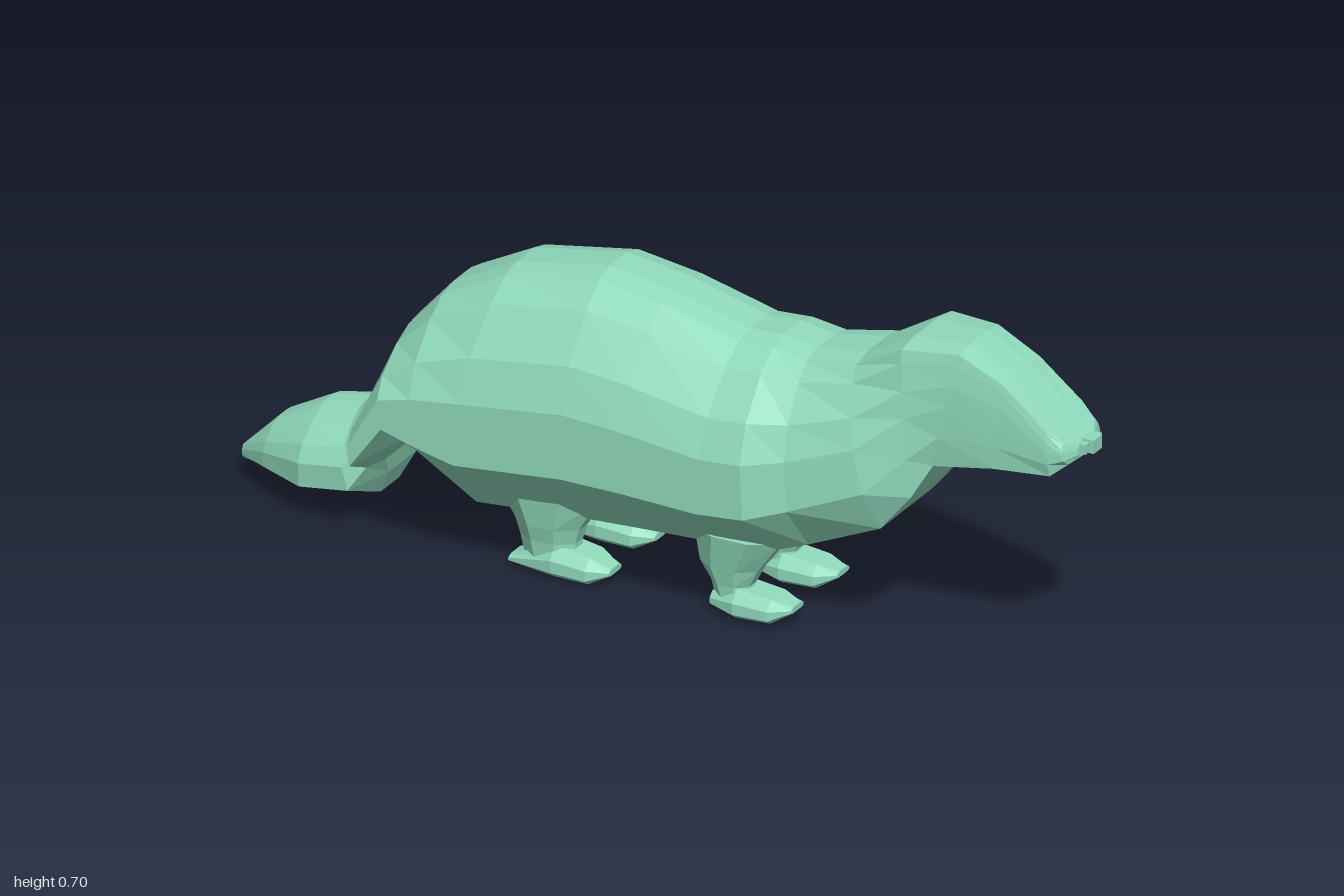
import * as THREE from 'three';

const material = new THREE.MeshStandardMaterial({ color: 0x90dabc, flatShading: true });

// Skin a list of closed rings (counterclockwise seen from the sweep's end) and cap both ends
function loft(name, rings) {
  const pos = [];
  const tri = (a, b, c) => pos.push(...a, ...b, ...c);
  const n = rings[0].length;
  for (let i = 0; i < rings.length - 1; i++) {
    for (let j = 0; j < n; j++) {
      const k = (j + 1) % n;
      tri(rings[i][j], rings[i][k], rings[i + 1][k]);
      tri(rings[i][j], rings[i + 1][k], rings[i + 1][j]);
    }
  }
  const cap = (ring, flip) => {
    const c = [0, 1, 2].map(a => ring.reduce((s, p) => s + p[a], 0) / n);
    ring.forEach((p, j) => {
      const q = ring[(j + 1) % n];
      flip ? tri(c, q, p) : tri(c, p, q);
    });
  };
  cap(rings[0], true);
  cap(rings[rings.length - 1], false);
  const geo = new THREE.BufferGeometry();
  geo.setAttribute('position', new THREE.Float32BufferAttribute(pos, 3));
  geo.computeVertexNormals();
  const mesh = new THREE.Mesh(geo, material);
  mesh.name = name;
  return mesh;
}

// Cross-section of the trunk: tilted line from top (xt, yt) to bottom (xb, yb),
// with half-widths at the side (w), top edge (wt) and belly (wb)
function section([xt, yt, xb, yb, w, wt, wb]) {
  const half = [
    [wt * 0.45, 1], [wt, 0.975],
    [wt + (w - wt) * 0.35, 0.89], [wt + (w - wt) * 0.8, 0.71],
    [w, 0.53], [w, 0.26], [wb, 0],
  ].map(([z, f]) => [xb + (xt - xb) * f, yb + (yt - yb) * f, z]);
  return [...half, ...half.map(([x, y, z]) => [x, y, -z]).reverse()];
}

// Chamfered rectangle across x, for the feet
function footSection([x, y0, y1, w], cz) {
  const h = y1 - y0;
  const half = [[w * 0.6, y1], [w, y1 - h * 0.4], [w, y0 + h * 0.2], [w * 0.7, y0]];
  return [
    ...half.map(([z, y]) => [x, y, cz + z]),
    ...half.map(([z, y]) => [x, y, cz - z]).reverse(),
  ];
}

// Horizontal octagon, for the legs
function legSection([x0, x1, y, w], cz) {
  return Array.from({ length: 8 }, (_, i) => {
    const t = (i + 0.5) * Math.PI / 4;
    return [(x0 + x1) / 2 + (x1 - x0) / 2 * Math.cos(t) * 1.08, y, cz - w * Math.sin(t) * 1.08];
  });
}

export function createModel() {
  const group = new THREE.Group();
  group.name = 'animal';

  // Flat tail, widening from the tip and narrowing at the root
  const tail = [
    [-1.0, 0.08, -1.0, 0.05, 0.035, 0.03, 0.03],
    [-0.92, 0.16, -0.92, 0.04, 0.09, 0.035, 0.035],
    [-0.81, 0.22, -0.8, 0.027, 0.15, 0.04, 0.035],
    [-0.72, 0.237, -0.67, 0.05, 0.16, 0.045, 0.04],
    [-0.675, 0.27, -0.64, 0.11, 0.14, 0.05, 0.06],
  ];

  // Arched trunk from rump to shoulders
  const trunk = [
    [-0.65, 0.32, -0.625, 0.16, 0.245, 0.085, 0.1],
    [-0.58, 0.48, -0.55, 0.24, 0.245, 0.085, 0.11],
    [-0.5, 0.57, -0.48, 0.18, 0.245, 0.085, 0.11],
    [-0.35, 0.65, -0.4, 0.122, 0.245, 0.085, 0.12],
    [-0.13, 0.69, -0.13, 0.143, 0.245, 0.085, 0.12],
    [0.02, 0.668, 0.0, 0.15, 0.245, 0.085, 0.12],
    [0.2, 0.622, 0.18, 0.158, 0.245, 0.085, 0.12],
    [0.28, 0.627, 0.3, 0.17, 0.245, 0.085, 0.12],
  ];

  // Neck, chest and tapering head
  const head = [
    [0.36, 0.615, 0.38, 0.2, 0.2, 0.085, 0.115],
    [0.48, 0.635, 0.55, 0.275, 0.165, 0.095, 0.115],
    [0.595, 0.7, 0.62, 0.36, 0.122, 0.108, 0.112],
    [0.72, 0.705, 0.66, 0.433, 0.098, 0.085, 0.09],
    [0.82, 0.655, 0.8, 0.458, 0.09, 0.08, 0.088],
    [0.92, 0.575, 0.93, 0.467, 0.087, 0.078, 0.08],
    [0.955, 0.545, 0.965, 0.495, 0.08, 0.068, 0.065],
    [0.975, 0.535, 0.978, 0.503, 0.04, 0.03, 0.03],
  ];
  group.add(loft('body', [...tail, ...trunk, ...head].map(section)));

  // Nose pad with a nostril nub on each side
  const pad = new THREE.Mesh(new THREE.BoxGeometry(0.04, 0.03, 0.036), material);
  pad.name = 'nose';
  pad.position.set(0.98, 0.523, 0);
  group.add(pad);
  for (const s of [1, -1]) {
    const nub = new THREE.Mesh(new THREE.BoxGeometry(0.03, 0.022, 0.018), material);
    nub.name = 'nostril';
    nub.position.set(0.975, 0.522, s * 0.026);
    group.add(nub);
  }

  // Short legs: [x0, x1, y, halfWidth]; feet: [x, y0, y1, halfWidth]
  const limbs = {
    front: {
      leg: [[0.16, 0.25, 0.03, 0.035], [0.15, 0.24, 0.07, 0.038],
        [0.125, 0.26, 0.11, 0.046], [0.115, 0.32, 0.19, 0.062]],
      foot: [[0.155, 0.015, 0.045, 0.032], [0.22, 0.005, 0.068, 0.054],
        [0.3, 0.008, 0.06, 0.05], [0.345, 0.035, 0.048, 0.027]],
    },
    hind: {
      leg: [[-0.29, -0.17, 0.03, 0.038], [-0.3, -0.17, 0.075, 0.042],
        [-0.31, -0.16, 0.11, 0.05], [-0.36, -0.11, 0.19, 0.062]],
      foot: [[-0.32, 0.008, 0.022, 0.032], [-0.21, 0.002, 0.07, 0.054],
        [-0.13, 0.0, 0.058, 0.05], [-0.085, 0.022, 0.036, 0.027]],
    },
  };
  for (const [place, { leg, foot }] of Object.entries(limbs)) {
    for (const s of [1, -1]) {
      const cz = s * 0.098;
      group.add(loft(place + 'Leg', leg.map(r => legSection(r, cz))));
      group.add(loft(place + 'Foot', foot.map(r => footSection(r, cz))));
    }
  }
  return group;
}
